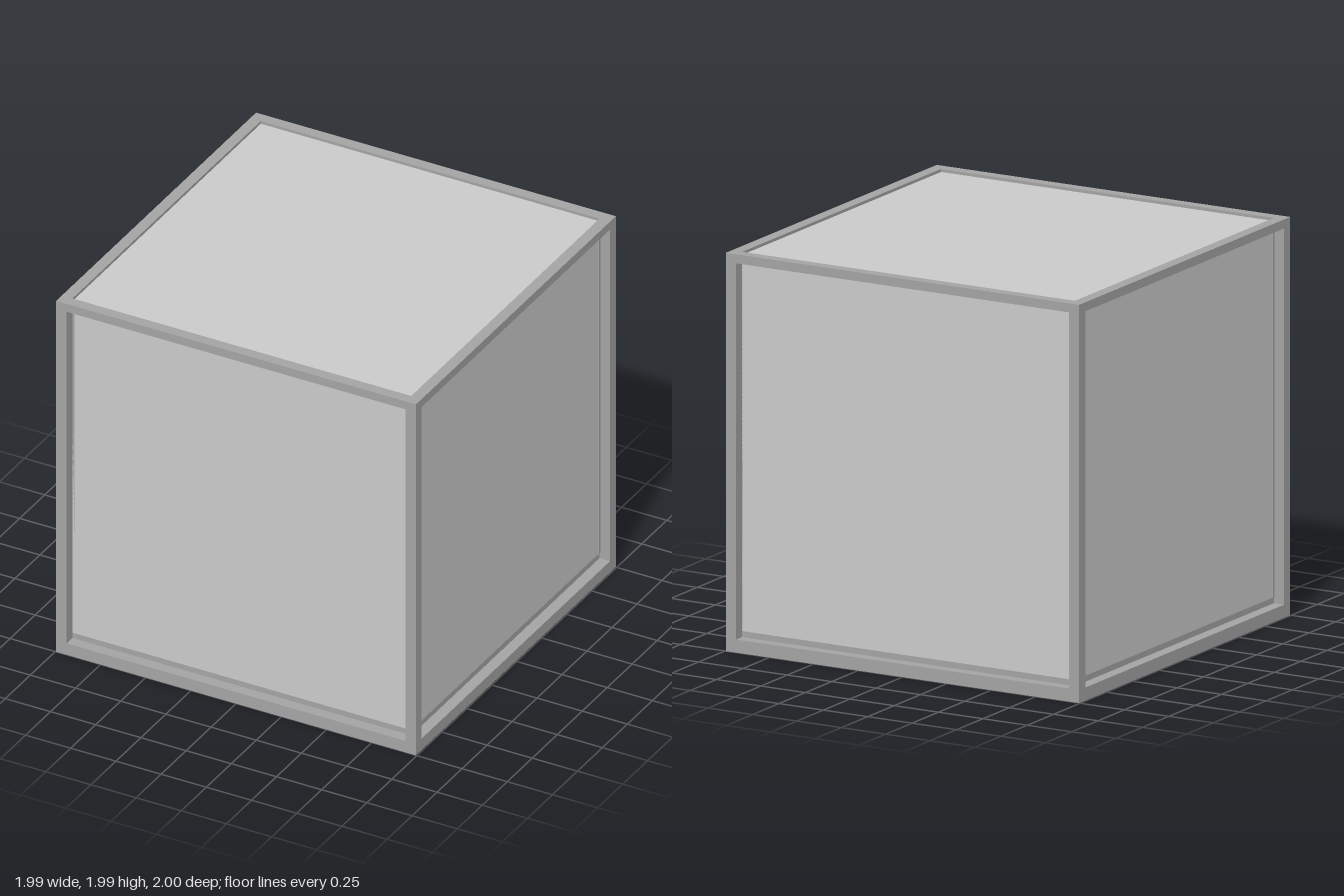
import * as THREE from 'three';

const HX = 0.995, HZ = 1, H = 1.99;   // half width, half depth, height
const RAIL = 0.058;                   // thickness of the frame rails

export function createModel() {
  const group = new THREE.Group();
  const panelMat = new THREE.MeshStandardMaterial({ color: 0xcccccc });
  const frameMat = new THREE.MeshStandardMaterial({ color: 0xa5a5a5 });

  // Box given by its lower and upper corners
  function box(name, mat, [x0, y0, z0], [x1, y1, z1]) {
    const mesh = new THREE.Mesh(new THREE.BoxGeometry(x1 - x0, y1 - y0, z1 - z0), mat);
    mesh.position.set((x0 + x1) / 2, (y0 + y1) / 2, (z0 + z1) / 2);
    mesh.name = name;
    group.add(mesh);
  }

  // Box mirrored to the side s along the x or z axis, a0..a1 outward
  const xBox = (name, mat, s, a0, a1, y0, y1, half) =>
    box(name, mat, [s > 0 ? a0 : -a1, y0, -half], [s > 0 ? a1 : -a0, y1, half]);
  const zBox = (name, mat, s, a0, a1, y0, y1, half) =>
    box(name, mat, [-half, y0, s > 0 ? a0 : -a1], [half, y1, s > 0 ? a1 : -a0]);

  const ix = HX - RAIL, iz = HZ - RAIL;
  const bottom = 0.065, top = H - 0.045, floor = 0.095;

  for (const s of [-1, 1]) {
    // Corner posts
    for (const t of [-1, 1]) {
      box('cornerPost', frameMat,
        [s > 0 ? ix : -HX, bottom, t > 0 ? iz : -HZ],
        [s > 0 ? HX : -ix, top, t > 0 ? HZ : -iz]);
    }

    // Bottom and top rails
    for (const [y0, y1, name] of [[0, bottom, 'bottomRail'], [top, H, 'topRail']]) {
      zBox(name, frameMat, s, iz, HZ, y0, y1, HX);
      xBox(name, frameMat, s, ix, HX, y0, y1, iz);
    }

    // Inner lip below the wall panels
    zBox('innerLip', frameMat, s, iz - 0.015, iz, bottom - 0.01, floor, ix);
    xBox('innerLip', frameMat, s, ix - 0.015, ix, bottom - 0.01, floor, iz - 0.015);

    // Wall panels, set back behind the rails
    zBox('wallPanel', panelMat, s, iz - 0.02, iz, floor, top, ix);
    xBox('wallPanel', panelMat, s, ix - 0.02, ix, floor, top, iz - 0.015);

    // Narrow upright stops beside the side panels
    for (const t of [-1, 1]) {
      box('sideStop', frameMat,
        [s > 0 ? ix - 0.01 : -ix - 0.004, floor, t > 0 ? iz - 0.015 : -iz],
        [s > 0 ? ix + 0.004 : -ix + 0.01, top, t > 0 ? iz : -iz + 0.015]);
    }
  }

  // Top panel slightly sunk in the frame, bottom panel deeper
  box('topPanel', panelMat, [-ix, top - 0.005, -iz], [ix, H - 0.015, iz]);
  box('bottomPanel', panelMat, [-ix + 0.01, floor, -iz + 0.01], [ix - 0.01, floor + 0.02, iz - 0.01]);

  return group;
}
